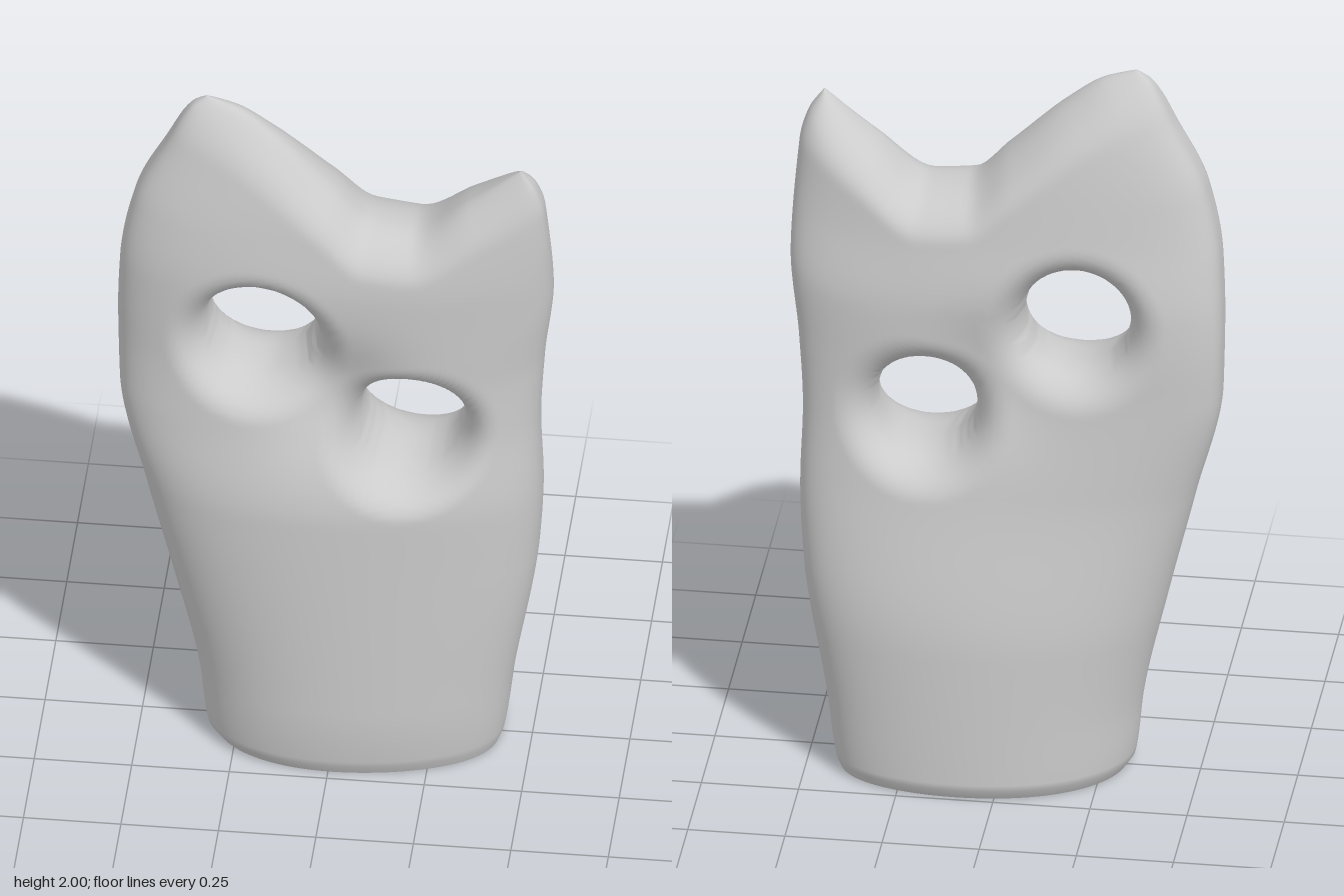
import * as THREE from 'three';
import { mergeVertices } from 'three/addons/utils/BufferGeometryUtils.js';

const { lerp, smoothstep, clamp } = THREE.MathUtils;

// Smooth, monotone lookup through [key, value] points
function lookup(points, k) {
  const last = points.length - 1;
  const slope = i => (points[i + 1][1] - points[i][1]) / (points[i + 1][0] - points[i][0]);
  const tangent = i => {
    if (i === 0) return slope(0);
    if (i === last) return slope(last - 1);
    const a = slope(i - 1), b = slope(i);
    return a * b > 0 ? 2 * a * b / (a + b) : 0;
  };
  let i = 0;
  while (i < last - 1 && k > points[i + 1][0]) i++;
  const [k0, v0] = points[i], [k1, v1] = points[i + 1], w = k1 - k0;
  const u = clamp((k - k0) / w, 0, 1), q = 1 - u;
  return v0 * (1 + 2 * u) * q * q + v1 * u * u * (3 - 2 * u)
    + w * u * q * (tangent(i) * q - tangent(i + 1) * u);
}

// Side outlines: [height, x]
const LEFT_PEAK = 2.0, RIGHT_PEAK = 1.86;
const leftEdge = [[0, -0.31], [0.03, -0.33], [0.2, -0.35], [0.5, -0.415], [0.8, -0.487], [1.1, -0.555],
  [1.3, -0.56], [1.48, -0.553], [1.68, -0.515], [1.85, -0.435], [1.97, -0.37], [2, -0.33]];
const rightEdge = [[0, 0.42], [0.03, 0.43], [0.2, 0.452], [0.6, 0.515], [0.8, 0.525], [1, 0.52],
  [1.2, 0.53], [1.45, 0.555], [1.73, 0.54], [1.8, 0.52], [1.86, 0.48]];
// Depth of front, back and rim: [height, z]
const frontZ = [[0, 0.22], [0.03, 0.235], [0.2, 0.25], [0.8, 0.253], [1.05, 0.22], [1.25, 0.207],
  [1.48, 0.205], [1.65, 0.188], [1.82, 0.158], [2, 0.115]];
const backZ = [[0, -0.235], [0.03, -0.253], [0.4, -0.25], [0.85, -0.19], [1.15, -0.162], [1.35, -0.16],
  [1.55, -0.133], [1.8, -0.105], [2, -0.055]];
const midZ = [[0, 0], [0.9, 0], [1.2, -0.01], [1.65, 0.03], [2, 0.04]];
// Dip between the two peaks: [fraction across, drop]
const notch = [[0, 0], [0.1, 0.015], [0.222, 0.07], [0.407, 0.19], [0.53, 0.266], [0.654, 0.26],
  [0.83, 0.135], [1, 0]];

const HOLES = [{ x: -0.187, y: 1.313, r: 0.136 }, { x: 0.2, y: 1.05, r: 0.128 }];
const VALLEY = { x: 0.01, y: 1.18, size: 0.16, depth: 0.25 };  // dip between the holes
const RIM = 0.095;  // width of the rounded hole rim
const CAP = 0.06;   // share of the height that rounds over at the top
const COLS = 96, ROWS = 112, CAP_ROWS = 12;

// Point on the flat silhouette, with its thickness factor
function silhouettePoint(i, j) {
  const theta = Math.PI * j / COLS, s = (1 - Math.cos(theta)) / 2;
  const capAngle = Math.max(0, i - ROWS) / CAP_ROWS * Math.PI / 2;
  let v = 1 - CAP + CAP * Math.sin(capAngle);
  if (i <= ROWS) v = i === 0 ? 0 : 0.015 + (1 - CAP - 0.015) * (i - 1) / (ROWS - 1);

  const yl = v * LEFT_PEAK, yr = v * RIGHT_PEAK;
  const x = lerp(lookup(leftEdge, yl), lookup(rightEdge, yr), s);
  const y = lerp(yl, yr, s) - lookup(notch, s) * smoothstep(v, 0.4, 1);

  // Cross-sections are slimmer at the lower right-hand end and fuller higher up
  const up = smoothstep(y, 0.2, 1.2);
  const power = lerp(lerp(0.95, 0.62, up), lerp(0.68, 0.75, up), s);
  const far = Math.hypot(x - VALLEY.x, y - VALLEY.y) / VALLEY.size;
  let t = Math.pow(Math.max(0, Math.sin(theta)), power) * Math.cos(capAngle);
  t *= 1 - VALLEY.depth * Math.exp(-far * far);
  if (j === 0 || j === COLS || i === ROWS + CAP_ROWS) t = 0;
  return { x, y, t, s, v };
}

// Pull points near a hole toward its edge so that the rim rounds over
function roundRim(p, onEdge) {
  for (const h of HOLES) {
    const dx = p.x - h.x, dy = p.y - h.y, dist = Math.hypot(dx, dy);
    const gap = dist - h.r;
    if (gap >= RIM) continue;
    const a = onEdge ? 0 : Math.max(0, gap) / RIM * Math.PI / 2;
    const r = h.r + RIM * (1 - Math.cos(a));
    p.x = h.x + dx / dist * r;
    p.y = h.y + dy / dist * r;
    p.t *= Math.sin(a);
  }
}

function buildGeometry(positions, indices) {
  const g = new THREE.BufferGeometry();
  g.setAttribute('position', new THREE.Float32BufferAttribute(positions, 3));
  g.setIndex(indices);
  const merged = mergeVertices(g, 1e-5);
  merged.computeVertexNormals();
  return merged;
}

export function createModel() {
  const group = new THREE.Group();
  const material = new THREE.MeshStandardMaterial({ color: 0xcccccc, side: THREE.DoubleSide });
  const rows = ROWS + CAP_ROWS, stride = COLS + 1;

  const grid = [];
  for (let i = 0; i <= rows; i++) for (let j = 0; j <= COLS; j++) grid.push(silhouettePoint(i, j));
  const inHole = grid.map(p => HOLES.some(h => Math.hypot(p.x - h.x, p.y - h.y) < h.r));

  // Leave out the cells that touch a hole
  const cells = [], edge = new Set();
  for (let i = 0; i < rows; i++) for (let j = 0; j < COLS; j++) {
    const a = i * stride + j, cell = [a, a + 1, a + stride + 1, a + stride];
    if (cell.some(k => inHole[k])) cell.forEach(k => edge.add(k));
    else cells.push(cell);
  }
  grid.forEach((p, k) => roundRim(p, edge.has(k)));

  // Front and back sheets, meeting at the outline and the hole rims
  const positions = [], indices = [], n = grid.length;
  for (const depth of [frontZ, backZ]) {
    for (const p of grid) {
      // The right peak leans forward and the lower body is slightly twisted
      const lean = 0.05 * p.s * smoothstep(p.v, 0.75, 1);
      const twist = 0.06 * (0.05 - p.x) * (1 - smoothstep(p.y, 0.5, 1.3));
      const mid = lookup(midZ, p.y);
      positions.push(p.x, p.y, mid + lean + twist + (lookup(depth, p.y) - mid - lean) * p.t);
    }
  }
  for (const [a, b, c, d] of cells) {
    indices.push(a, b, c, a, c, d);
    indices.push(n + a, n + c, n + b, n + a, n + d, n + c);
  }
  const body = new THREE.Mesh(buildGeometry(positions, indices), material);
  body.name = 'body';
  group.add(body);

  // Flat underside
  const basePos = [0.055, 0, 0], baseIdx = [];
  for (const start of [0, n]) for (let j = 0; j <= COLS; j++)
    basePos.push(...positions.slice((start + j) * 3, (start + j) * 3 + 3));
  for (let j = 1; j <= COLS; j++) {
    baseIdx.push(0, j + 1, j);
    baseIdx.push(0, stride + j, stride + j + 1);
  }
  const base = new THREE.Mesh(buildGeometry(basePos, baseIdx), material);
  base.name = 'base';
  group.add(base);

  return group;
}
